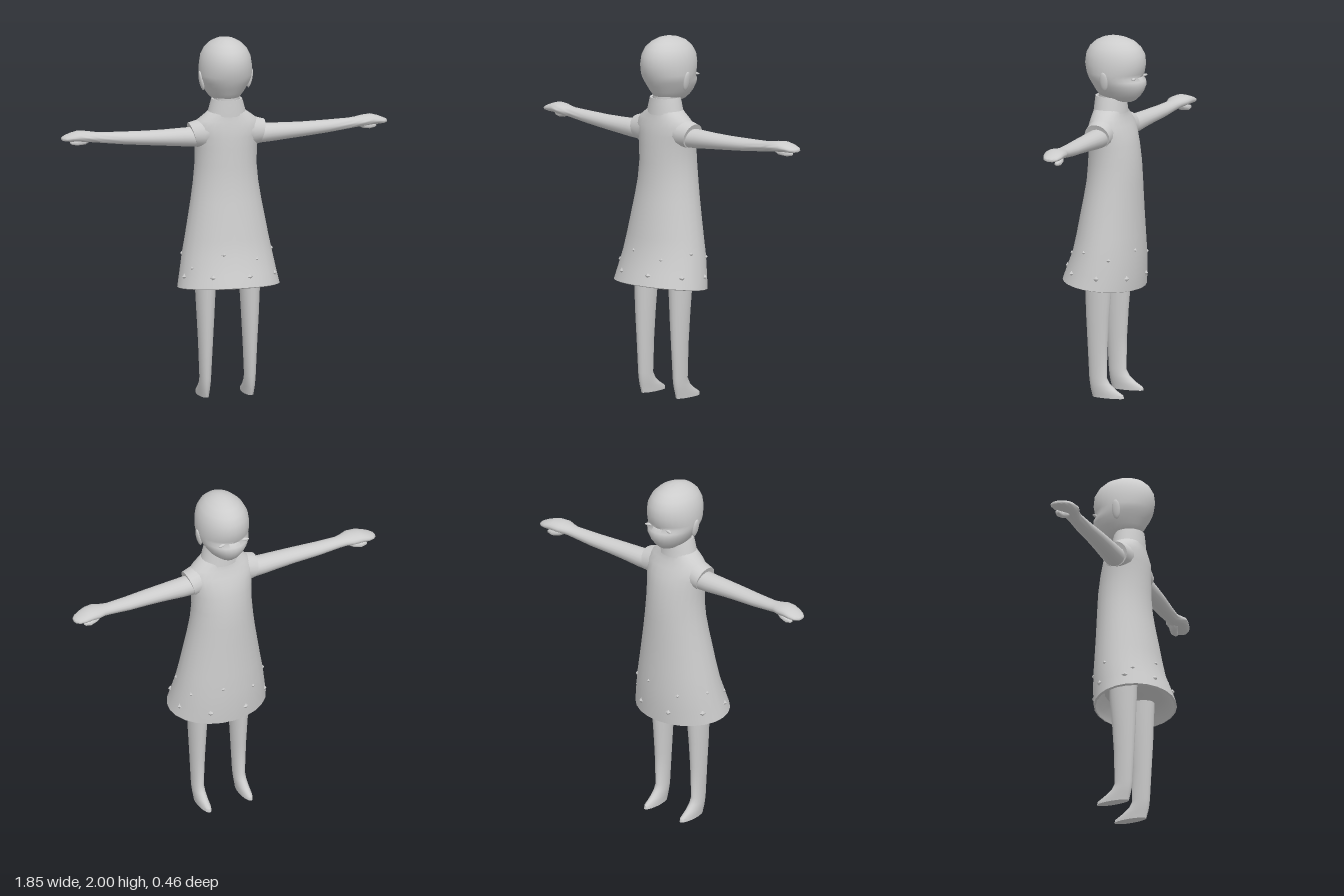
import * as THREE from 'three';
import { toCreasedNormals } from 'three/addons/utils/BufferGeometryUtils.js';

const mat = new THREE.MeshStandardMaterial({ color: 0xcccccc });
mat.name = 'plain grey';

// Skin closed elliptical sections. Row: [t, aMin, aMax, bMin, bMax, tilt].
// Axis 'y': t = y, a = x, b = z (tilted by z). Axis 'x': t = x, a = y, b = z (tilted by y).
// side = -1 mirrors the result in x.
function loft(name, rows, { axis = 'y', side = 1, seg = 24, caps = true, crease = 0.8 } = {}) {
  const pos = [], index = [];
  const put = (t, a, b) => (axis === 'y' ? pos.push(side * a, t, b) : pos.push(side * t, a, b));
  for (const [t, a0, a1, b0, b1, tilt = 0] of rows) {
    for (let i = 0; i < seg; i++) {
      const th = (i / seg) * Math.PI * 2;
      const da = Math.cos(th) * (a1 - a0) / 2, db = Math.sin(th) * (b1 - b0) / 2;
      put(t + tilt * (axis === 'y' ? db : da), (a0 + a1) / 2 + da, (b0 + b1) / 2 + db);
    }
  }
  const flip = (axis === 'x') !== (side < 0);
  const tri = (a, b, c) => (flip ? index.push(a, c, b) : index.push(a, b, c));
  for (let r = 0; r < rows.length - 1; r++) {
    for (let i = 0; i < seg; i++) {
      const j = (i + 1) % seg, p = r * seg, q = p + seg;
      tri(p + i, q + i, p + j);
      tri(p + j, q + i, q + j);
    }
  }
  if (caps) {
    [0, rows.length - 1].forEach((r, k) => {
      const [t, a0, a1, b0, b1] = rows[r], c = pos.length / 3;
      put(t, (a0 + a1) / 2, (b0 + b1) / 2);
      for (let i = 0; i < seg; i++) {
        const p = r * seg + i, q = r * seg + (i + 1) % seg;
        k ? tri(p, c, q) : tri(q, c, p);
      }
    });
  }
  const g = new THREE.BufferGeometry();
  g.setAttribute('position', new THREE.Float32BufferAttribute(pos, 3));
  g.setIndex(index);
  const mesh = new THREE.Mesh(toCreasedNormals(g, crease), mat);
  mesh.name = name;
  return mesh;
}

// Symmetric row: [y, half width, zMin, zMax, tilt]
const sym = (rows) => rows.map(([y, h, z0, z1, k]) => [y, -h, h, z0, z1, k]);

const DRESS = [
  [0.625, 0.285, -0.205, 0.23, 0.115], [0.7, 0.27, -0.21, 0.207, 0.08],
  [0.8, 0.252, -0.21, 0.172, 0.04], [0.9, 0.232, -0.206, 0.153], [1.0, 0.214, -0.202, 0.135],
  [1.1, 0.196, -0.199, 0.116], [1.2, 0.181, -0.196, 0.1], [1.3, 0.172, -0.191, 0.092],
  [1.4, 0.175, -0.176, 0.088], [1.46, 0.185, -0.16, 0.084], [1.51, 0.195, -0.138, 0.079],
  [1.55, 0.165, -0.12, 0.07], [1.58, 0.125, -0.113, 0.065], [1.6, 0.098, -0.112, 0.063],
];

// Point on the dress at a height and an angle measured from +z
function onDress(y, angle) {
  const k = DRESS.findIndex((r) => r[0] > y), lo = DRESS[k - 1], hi = DRESS[k];
  const f = (y - lo[0]) / (hi[0] - lo[0]);
  const [, h, z0, z1, tilt = 0] = lo.map((v, i) => v + ((hi[i] ?? 0) - v) * f);
  const dz = Math.cos(angle) * (z1 - z0) / 2;
  return new THREE.Vector3(Math.sin(angle) * h, y + tilt * dz, (z0 + z1) / 2 + dz);
}

export function createModel() {
  const model = new THREE.Group();
  model.name = 'figure';

  // Dress with a recessed underside
  const underside = [[0.69, 0.2, -0.15, 0.15], [0.65, 0.25, -0.185, 0.195, 0.1], [0.62, 0.272, -0.195, 0.218, 0.115]];
  model.add(loft('dress', sym([...underside, ...DRESS])));

  // Neck and standing collar with an open top
  model.add(loft('neck', sym([[1.56, 0.07, -0.095, 0.045], [1.74, 0.07, -0.1, 0.04]])));
  model.add(loft('collar', sym([
    [1.575, 0.11, -0.118, 0.068], [1.61, 0.1, -0.114, 0.066], [1.64, 0.092, -0.111, 0.063],
    [1.665, 0.084, -0.108, 0.061], [1.663, 0.072, -0.098, 0.05], [1.6, 0.07, -0.096, 0.046],
  ]), { caps: false }));

  // Head, with a brow dip above the cheeks
  model.add(loft('head', sym([
    [1.638, 0.03, -0.15, -0.085], [1.647, 0.052, -0.17, -0.03], [1.67, 0.084, -0.195, 0.04],
    [1.7, 0.106, -0.216, 0.06], [1.735, 0.126, -0.229, 0.08], [1.76, 0.136, -0.225, 0.095],
    [1.78, 0.142, -0.206, 0.102], [1.8, 0.145, -0.216, 0.11], [1.85, 0.144, -0.225, 0.12],
    [1.9, 0.136, -0.22, 0.114], [1.94, 0.116, -0.197, 0.093], [1.97, 0.086, -0.163, 0.06],
    [1.99, 0.05, -0.115, 0.018], [1.998, 0.022, -0.075, -0.015], [2.0, 0.004, -0.05, -0.04],
  ]), { seg: 28, crease: 1.2 }));

  for (const side of [1, -1]) {
    const tag = side > 0 ? 'left' : 'right';
    const along = { axis: 'x', side, seg: 18 };

    // Slanted cap sleeve
    model.add(loft(tag + 'Sleeve', [
      [0.08, 1.42, 1.57, -0.105, 0.06], [0.14, 1.395, 1.553, -0.108, 0.053, 0.2],
      [0.195, 1.4, 1.535, -0.105, 0.043, 0.28], [0.193, 1.41, 1.522, -0.095, 0.032, 0.28],
    ], along));

    // Arm and flattened hand
    model.add(loft(tag + 'Arm', [
      [0.14, 1.4, 1.512, -0.095, 0.03], [0.25, 1.406, 1.508, -0.095, 0.024],
      [0.35, 1.415, 1.504, -0.093, 0.018], [0.45, 1.423, 1.502, -0.094, 0.01],
      [0.58, 1.433, 1.502, -0.1, -0.006], [0.7, 1.446, 1.504, -0.101, -0.02],
      [0.74, 1.452, 1.508, -0.108, -0.014], [0.78, 1.456, 1.514, -0.125, -0.001],
      [0.83, 1.46, 1.517, -0.131, -0.012], [0.87, 1.46, 1.505, -0.131, -0.022],
      [0.9, 1.462, 1.493, -0.122, -0.036], [0.918, 1.466, 1.484, -0.105, -0.055],
      [0.923, 1.472, 1.478, -0.09, -0.07],
    ], { ...along, crease: 1.1 }));
    model.add(loft(tag + 'Thumb', [
      [0.75, 1.46, 1.48, -0.09, -0.06], [0.79, 1.436, 1.475, -0.11, -0.055],
      [0.83, 1.43, 1.46, -0.115, -0.075], [0.86, 1.436, 1.456, -0.11, -0.085],
      [0.868, 1.443, 1.45, -0.103, -0.092],
    ], { ...along, seg: 10, crease: 1.1 }));

    // Leg and foot, toes towards -z
    model.add(loft(tag + 'Leg', [
      [0, 0.098, 0.155, -0.162, 0.025], [0.018, 0.097, 0.156, -0.158, 0.03],
      [0.045, 0.097, 0.157, -0.113, 0.037], [0.075, 0.096, 0.157, -0.077, 0.042],
      [0.11, 0.096, 0.157, -0.057, 0.046], [0.3, 0.087, 0.165, -0.061, 0.056],
      [0.45, 0.079, 0.173, -0.07, 0.064], [0.62, 0.07, 0.181, -0.085, 0.07],
      [0.76, 0.065, 0.185, -0.09, 0.075],
    ], { side, seg: 18 }));

    // Ear and narrow eye
    const ball = new THREE.SphereGeometry(1, 14, 10);
    const ear = new THREE.Mesh(ball, mat);
    ear.name = tag + 'Ear';
    ear.scale.set(0.012, 0.055, 0.024);
    ear.position.set(side * 0.138, 1.765, -0.045);
    ear.rotation.z = -side * 0.2;
    const eye = new THREE.Mesh(ball, mat);
    eye.name = tag + 'Eye';
    eye.scale.set(0.034, 0.008, 0.01);
    eye.position.set(side * 0.062, 1.778, -0.19);
    eye.rotation.y = side * 0.32;
    model.add(ear, eye);
  }

  // Two staggered rows of studs above the hem
  const studs = new THREE.Group();
  studs.name = 'hemStuds';
  const gem = new THREE.OctahedronGeometry(1).toNonIndexed();
  gem.computeVertexNormals();
  for (let i = 0; i < 16; i++) {
    const upper = i >= 8, n = i % 8;
    const angle = (n * Math.PI) / 4 + (upper ? -0.27 : 0.27);
    const y = upper ? [0.82, 0.785, 0.82, 0.79, 0.83, 0.79, 0.8, 0.74][n] : 0.69;
    const stud = new THREE.Mesh(gem, mat);
    stud.name = 'stud';
    stud.position.copy(onDress(y, angle));
    stud.rotation.y = angle;
    const s = upper ? 0.012 : 0.017;
    stud.scale.set(s, s, s * 0.7);
    studs.add(stud);
  }
  model.add(studs);
  return model;
}
